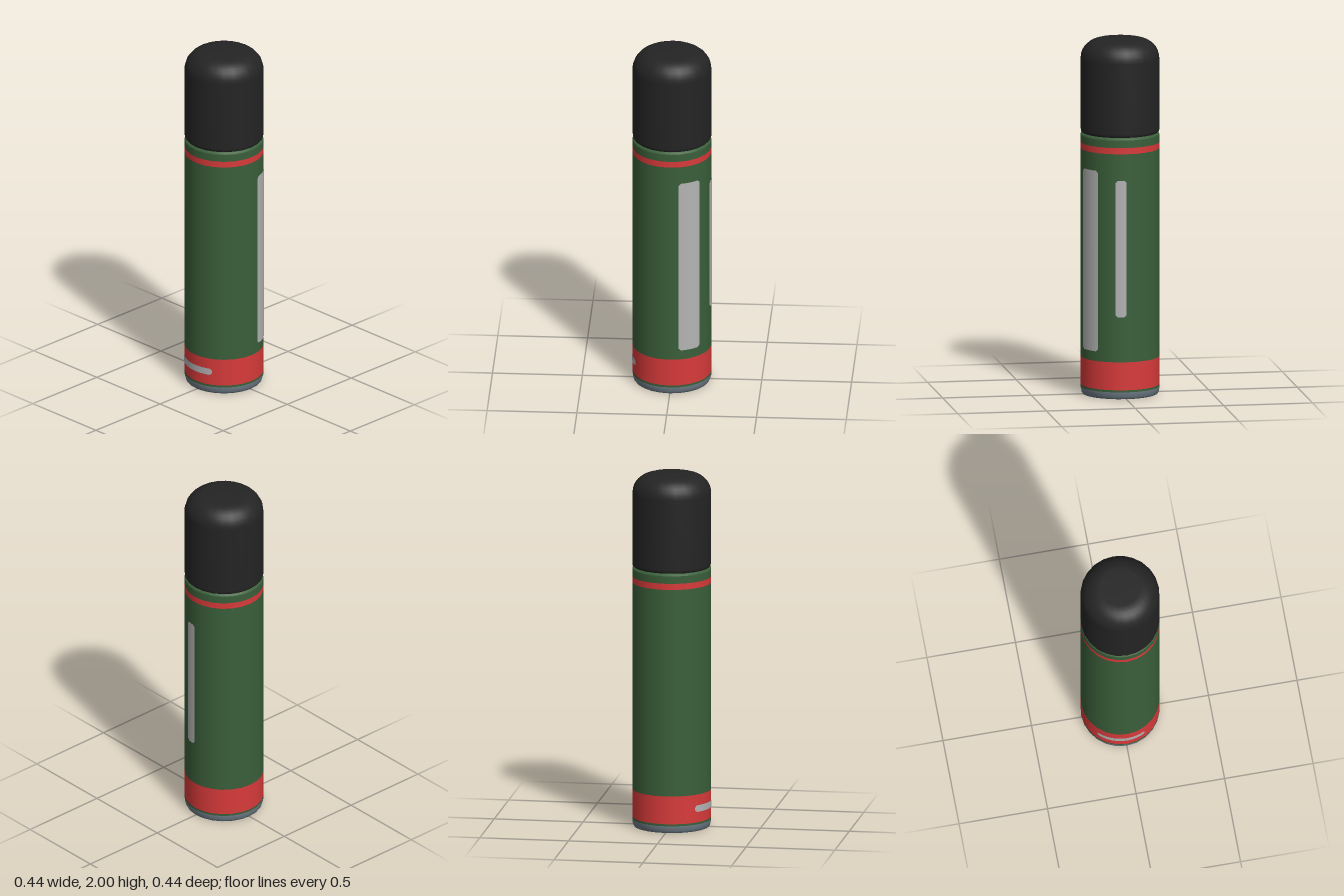
import * as THREE from 'three';

const SIDES = 24;
const R = 0.22;

function material(name, color) {
  const m = new THREE.MeshStandardMaterial({ color });
  m.name = name;
  return m;
}

export function createModel() {
  const green = material('green', 0x3a5f3a);
  const red = material('red', 0xd83a3a);
  const lightGrey = material('light grey', 0xb4b4b4);
  const black = material('black', 0x242424);
  const metal = material('metal', 0x6c7a84);

  const model = new THREE.Group();
  model.name = 'cappedTube';

  function add(name, geometry, mat) {
    const mesh = new THREE.Mesh(geometry, mat);
    mesh.name = name;
    model.add(mesh);
  }

  // Turned part from [radius, height] pairs, bottom to top
  function turned(name, profile, mat) {
    const points = profile.map(([r, y]) => new THREE.Vector2(r, y));
    add(name, new THREE.LatheGeometry(points, SIDES), mat);
  }

  // Thin label wrapped round the tube between two angles, with clipped corners
  function label(name, from, to, y0, y1) {
    const a0 = THREE.MathUtils.degToRad(from);
    const a1 = THREE.MathUtils.degToRad(to);
    const corner = 0.012;
    const geometry = new THREE.PlaneGeometry(1, 1, 32, 1);
    const p = geometry.attributes.position;
    for (let i = 0; i < p.count; i++) {
      const u = p.getX(i) + 0.5;
      const angle = a0 + (a1 - a0) * u;
      const edge = Math.min(u, 1 - u) * (a1 - a0) * R;
      const half = (y1 - y0) / 2 - Math.max(0, corner - edge);
      const y = (y0 + y1) / 2 + Math.sign(p.getY(i)) * half;
      p.setXYZ(i, Math.sin(angle) * (R + 0.002), y, Math.cos(angle) * (R + 0.002));
    }
    geometry.computeVertexNormals();
    add(name, geometry, lightGrey);
  }

  // Metal foot with a hollow underside
  turned('hollowBase', [[0, 0.045], [0.09, 0.038], [0.2, 0]], metal);
  turned('baseRim', [[0.2, 0], [0.21, 0], [0.216, 0.012], [R, 0.03], [R, 0.04]], metal);

  // Painted body, one straight section per colour
  turned('lowerEdge', [[R, 0.04], [R, 0.052]], green);
  turned('lowerBand', [[R, 0.052], [R, 0.21]], red);
  turned('body', [[R, 0.21], [R, 1.385]], green);
  turned('upperBand', [[R, 1.385], [R, 1.42]], red);
  turned('neckBand', [[R, 1.42], [R, 1.462]], green);
  turned('shoulder', [[R, 1.462], [0.217, 1.47], [0.205, 1.476]], green);

  // Cap with a rounded top edge
  const cap = [[0.2, 1.474], [0.212, 1.476], [0.218, 1.482], [R, 1.495], [R, 1.89]];
  for (let i = 1; i <= 8; i++) {
    const a = (i / 8) * Math.PI / 2;
    cap.push([0.11 + 0.11 * Math.cos(a), 1.89 + 0.11 * Math.sin(a)]);
  }
  cap.push([0, 2]);
  turned('cap', cap, black);

  // Labels
  label('frontLabel', 13, 46.5, 0.265, 1.285);
  label('sideLabel', 74, 90, 0.465, 1.235);
  label('bandLabel', 225, 298, 0.112, 0.15);

  return model;
}
